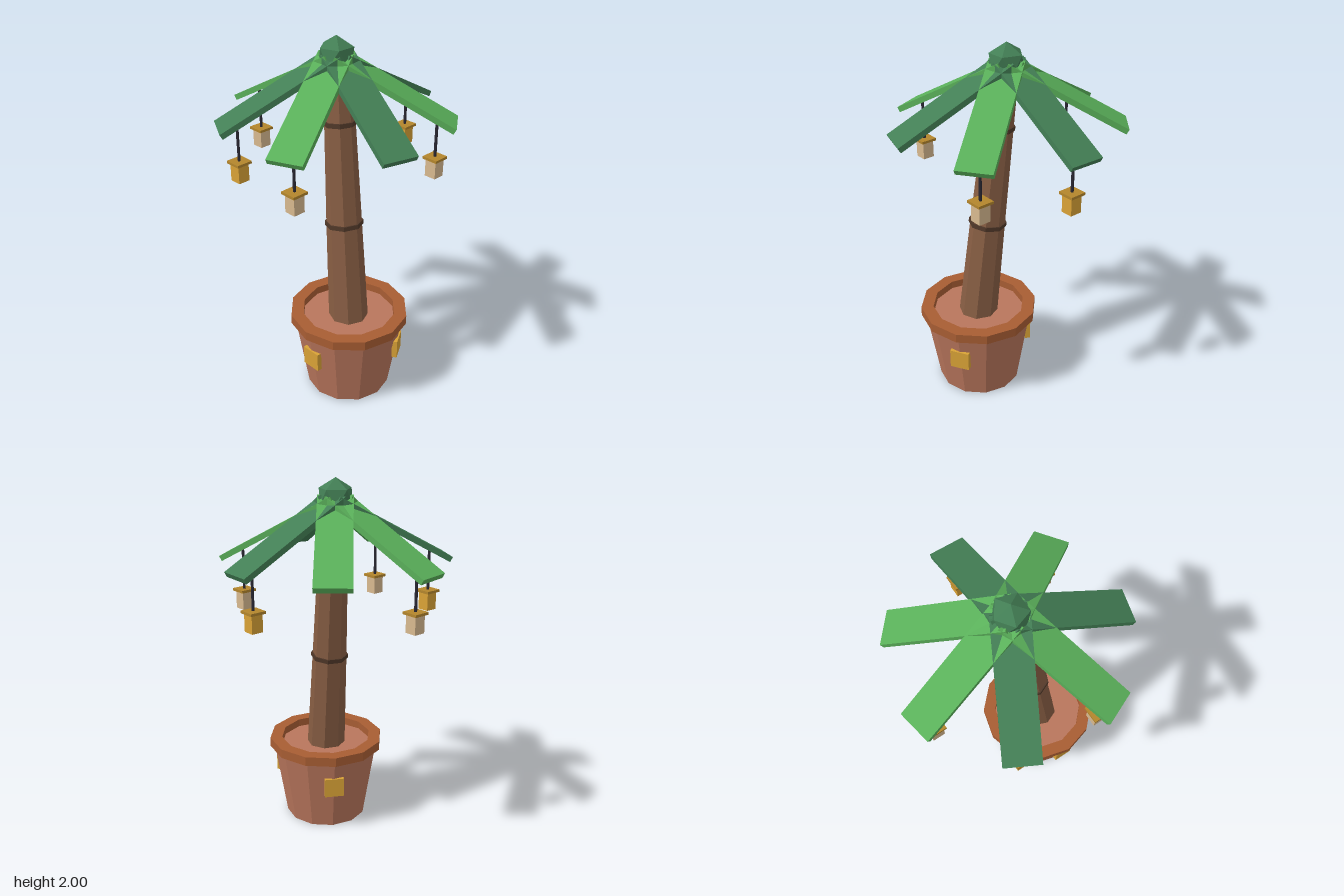
import * as THREE from 'three';

const mat = (name, color) => {
  const m = new THREE.MeshStandardMaterial({ color });
  m.name = name;
  return m;
};

// Faceted normals for the low-poly look
function facet(geometry) {
  const g = geometry.index ? geometry.toNonIndexed() : geometry;
  g.computeVertexNormals();
  return g;
}

export function createModel() {
  const clay = mat('clay', 0xb9765c);
  const rimBrown = mat('rim brown', 0xa85d33);
  const bark = mat('bark', 0x875d43);
  const darkBark = mat('dark bark', 0x503829);
  const leafLight = mat('light leaf', 0x5ab05a);
  const leafDark = mat('dark leaf', 0x437f55);
  const gold = mat('gold', 0xd9a236);
  const brass = mat('brass', 0xb4862c);
  const paper = mat('paper', 0xd8b98f);
  const cord = mat('cord', 0x2a2833);

  const model = new THREE.Group();
  model.name = 'pottedPalm';
  const add = (name, geometry, material, parent = model) => {
    const mesh = new THREE.Mesh(geometry, material);
    mesh.name = name;
    parent.add(mesh);
    return mesh;
  };

  // Pot with raised rim and three square plaques
  const pot = new THREE.Group();
  pot.name = 'pot';
  pot.position.set(0.165, 0, 0.065);
  model.add(pot);
  add('potBody', facet(new THREE.CylinderGeometry(0.305, 0.235, 0.44, 12)), clay, pot).position.y = 0.22;
  const rimProfile = [[0.26, 0.432], [0.33, 0.432], [0.33, 0.485], [0.26, 0.485], [0.26, 0.432]]
    .map(([x, y]) => new THREE.Vector2(x, y));
  add('potRim', facet(new THREE.LatheGeometry(rimProfile, 12)), rimBrown, pot);
  for (let i = 0; i < 3; i++) {
    const a = (i * Math.PI * 2) / 3;
    const plaque = add('plaque', new THREE.BoxGeometry(0.11, 0.11, 0.03), gold, pot);
    plaque.position.set(Math.sin(a) * 0.281, 0.28, Math.cos(a) * 0.281);
    plaque.rotation.y = a;
  }

  // Leaning, tapering trunk: [x, y, z, radius] from bottom to top
  const nodes = [
    [0.165, 0.43, 0.067, 0.11],
    [0.105, 1.005, 0.045, 0.096],
    [0.046, 1.56, 0.02, 0.081],
    [0.014, 1.85, 0.006, 0.072],
  ];
  const trunk = new THREE.CylinderGeometry(1, 1, 3, 8, 3);
  const p = trunk.attributes.position;
  for (let i = 0; i < p.count; i++) {
    const [x, y, z, r] = nodes[Math.round(p.getY(i) + 1.5)];
    p.setXYZ(i, x + p.getX(i) * r, y, z + p.getZ(i) * r);
  }
  add('trunk', facet(trunk), bark);

  // Dark bands around the trunk joints
  const lean = new THREE.Vector3(-0.105, 1, -0.042).normalize();
  for (const [x, y, z, r] of nodes.slice(1, 3)) {
    const band = add('trunkBand', facet(new THREE.CylinderGeometry(r + 0.008, r + 0.008, 0.024, 8)), darkBark);
    band.position.set(x, y, z);
    band.quaternion.setFromUnitVectors(new THREE.Vector3(0, 1, 0), lean);
  }

  // Faceted crown knob, one vertex pointing up
  const knob = new THREE.IcosahedronGeometry(0.1, 0);
  knob.rotateZ(Math.atan(2 / (1 + Math.sqrt(5))));
  const crown = add('crown', facet(knob), leafDark);
  crown.position.set(0.003, 1.9, 0.003);

  // Seven drooping fronds, some with a hanging lantern
  const length = 0.695, droop = 0.5, hang = 0.516;
  const frondGeometry = new THREE.BoxGeometry(length, 0.03, 0.187);
  frondGeometry.translate(length / 2, 0, 0);
  frondGeometry.rotateZ(-droop);
  const lanterns = [null, gold, paper, null, paper, gold, paper];
  for (let i = 0; i < 7; i++) {
    const a = THREE.MathUtils.degToRad(-138.6) + (i * Math.PI * 2) / 7;
    const frond = add('frond', frondGeometry, i % 2 ? leafDark : leafLight);
    frond.position.y = 1.9;
    frond.rotation.y = -a;
    if (!lanterns[i]) continue;

    const lantern = new THREE.Group();
    lantern.name = 'lantern';
    lantern.position.set(Math.cos(a) * hang, 0, Math.sin(a) * hang);
    model.add(lantern);
    add('lanternCord', new THREE.CylinderGeometry(0.008, 0.008, 0.235, 6), cord, lantern).position.y = 1.4975;
    add('lanternCap', new THREE.BoxGeometry(0.09, 0.014, 0.09), brass, lantern).position.y = 1.379;
    add('lanternBody', new THREE.BoxGeometry(0.066, 0.098, 0.066), lanterns[i], lantern).position.y = 1.324;
  }
  return model;
}
